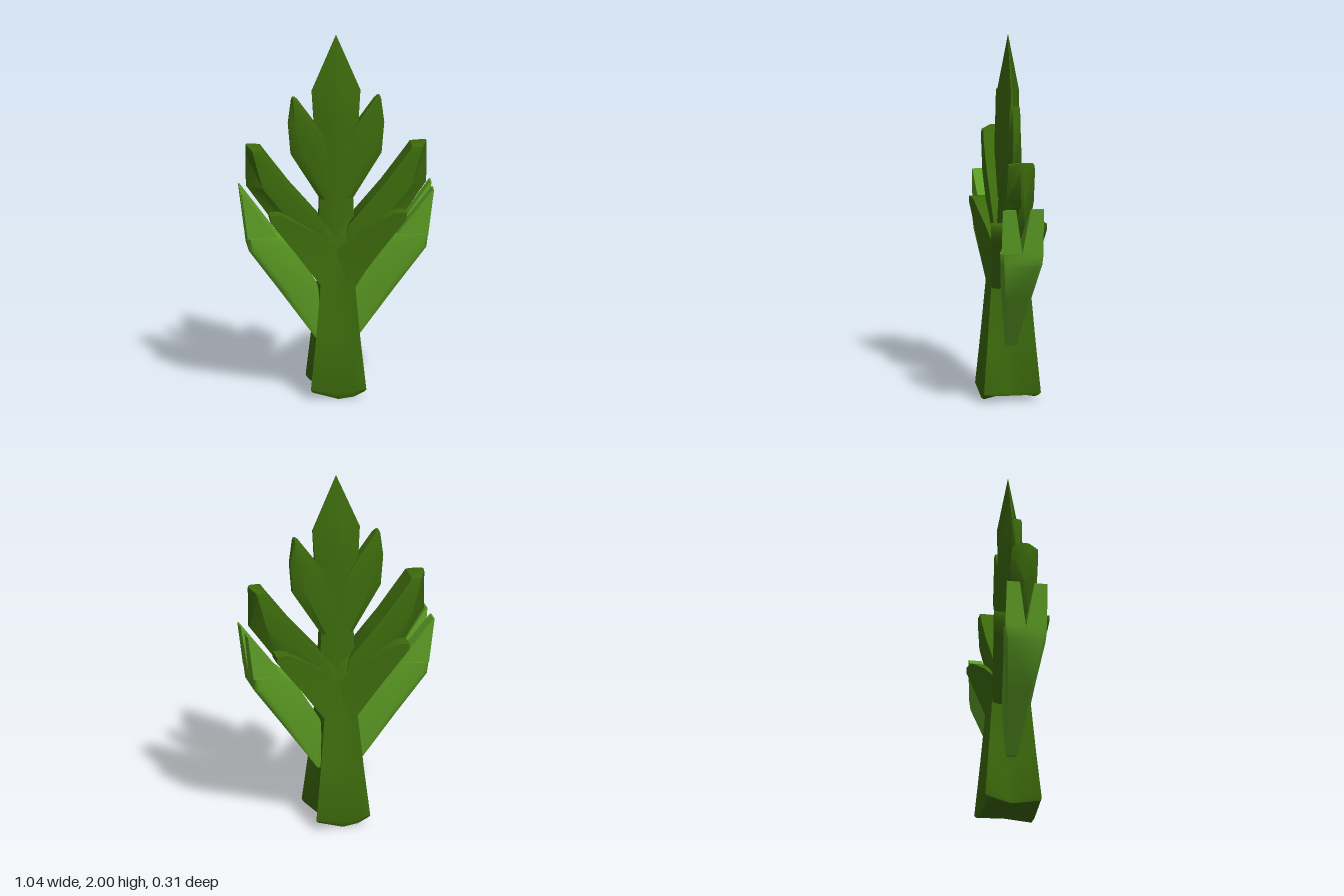
import * as THREE from 'three';
import { toCreasedNormals } from 'three/addons/utils/BufferGeometryUtils.js';

// Skin a stack of equal-length rings, close both ends, and face it outward.
function loft(rings) {
  const tris = [];
  const n = rings[0].length;
  for (let i = 0; i < rings.length - 1; i++) {
    for (let j = 0; j < n; j++) {
      const k = (j + 1) % n;
      const a = rings[i][j], b = rings[i][k], c = rings[i + 1][k], d = rings[i + 1][j];
      tris.push([a, b, c], [a, c, d]);
    }
  }
  const cap = (ring, flip) => {
    const mid = [0, 1, 2].map((q) => ring.reduce((s, p) => s + p[q], 0) / n);
    ring.forEach((p, j) => {
      const next = ring[(j + 1) % n];
      tris.push(flip ? [mid, next, p] : [mid, p, next]);
    });
  };
  cap(rings[0], true);
  cap(rings[rings.length - 1], false);
  let volume = 0;
  for (const [a, b, c] of tris) {
    volume += a[0] * (b[1] * c[2] - b[2] * c[1])
      + a[1] * (b[2] * c[0] - b[0] * c[2])
      + a[2] * (b[0] * c[1] - b[1] * c[0]);
  }
  if (volume < 0) tris.forEach((t) => t.reverse());
  const geometry = new THREE.BufferGeometry();
  geometry.setAttribute('position', new THREE.Float32BufferAttribute(tris.flat(2), 3));
  return toCreasedNormals(geometry, 0.7);
}

// Bevelled sections: [y, inner x, outer x, inner z, middle z, outer z].
// The bevels take the given shares of the width at the inner and outer edge.
function bevelled(rows, side, innerShare, outerShare) {
  return loft(rows.map(([y, xi, xo, zi, zm, zo]) => {
    const w = xo - xi;
    const half = [[xi, zi], [xi + w * innerShare, zm], [xo - w * outerShare, zm], [xo, zo]];
    const back = half.map(([x, z]) => [x, -z]).reverse();
    return [...half, ...back].map(([x, z]) => [x * side, y, z]);
  }));
}

// Four-sided sections: [y, inner x, outer x, near z, far z inside, far z outside].
function slab(rows, side, depth) {
  return loft(rows.map(([y, xi, xo, near, farIn, farOut]) =>
    [[xi, near], [xo, near], [xo, farOut], [xi, farIn]]
      .map(([x, z]) => [x * side, y, z * depth])));
}

export function createModel() {
  const model = new THREE.Group();
  const darkGreen = new THREE.MeshStandardMaterial({ color: 0x3c6a0c });
  darkGreen.name = 'darkGreen';
  const lightGreen = new THREE.MeshStandardMaterial({ color: 0x5c9c24 });
  lightGreen.name = 'lightGreen';
  const add = (name, geometry, material) => {
    const mesh = new THREE.Mesh(geometry, material);
    mesh.name = name;
    model.add(mesh);
  };

  // Stem with grooves on all sides and a rounded foot.
  // [y, half width, half depth, groove half width, groove half depth, foot droop]
  const stemRows = [
    [0, 0.14, 0.145, 0.1, 0.145, 1],
    [0.03, 0.15, 0.155, 0.1, 0.155, 0.6],
    [0.33, 0.12, 0.131, 0.085, 0.118, 0],
    [0.64, 0.092, 0.106, 0.078, 0.086, 0],
    [0.84, 0.09, 0.075, 0.09, 0.07, 0],
    [0.98, 0.088, 0.028, 0.088, 0.05, 0],
  ];
  add('stem', loft(stemRows.map(([y, w, d, gw, gd, droop]) => {
    const half = [[w, -d, 0.04], [gw, 0, 0.03], [w, d, 0.04], [w * 0.6, (d + gd) / 2, 0.012], [0, gd, 0]];
    const ring = [...half, ...half.map(([x, z, lift]) => [-x, -z, lift])];
    return ring.map(([x, z, lift]) => [x, y + lift * droop, z]);
  })), darkGreen);

  // Pointed central blade.
  add('centralBlade', bevelled([
    [0.85, -0.1, 0.1, 0.03, 0.065, 0.03],
    [1.1, -0.09, 0.09, 0.03, 0.052, 0.03],
    [1.34, -0.12, 0.12, 0.03, 0.054, 0.03],
    [1.51, -0.12, 0.12, 0.015, 0.056, 0.015],
    [1.69, -0.132, 0.132, 0.004, 0.06, 0.004],
    [2, -0.001, 0.001, 0.001, 0.001, 0.001],
  ], 1, 0.48, 0.48), darkGreen);

  for (const side of [1, -1]) {
    const label = side > 0 ? 'left' : 'right';

    // Small lobe beside the central blade.
    add(label + 'Lobe', bevelled([
      [1.09, 0, 0.088, 0.045, 0.045, 0.028],
      [1.34, 0, 0.245, 0.05, 0.045, 0.015],
      [1.51, 0.115, 0.26, 0.03, 0.033, 0.012],
      [1.64, 0.208, 0.243, 0.026, 0.028, 0.014],
      [1.655, 0.225, 0.238, 0.022, 0.024, 0.014],
    ], side, 0.2, 0.25), darkGreen);

    // Large upper branch: flat on top, pointed along the outer end.
    add(label + 'UpperBranch', bevelled([
      [0.64, 0, 0.09, 0.06, 0.07, 0.06],
      [0.95, 0.06, 0.325, 0.068, 0.073, 0.045],
      [1.17, 0.25, 0.487, 0.072, 0.075, 0.006],
      [1.35, 0.385, 0.488, 0.072, 0.074, 0.012],
      [1.38, 0.405, 0.488, 0.068, 0.07, 0.014],
      [1.398, 0.47, 0.488, 0.022, 0.022, 0.012],
    ], side, 0.08, 0.35), darkGreen);

    // Lower branches, one in front and one behind.
    for (const depth of [1, -1]) {
      add(label + (depth > 0 ? 'Front' : 'Back') + 'Branch', slab([
        [0.62, 0, 0.088, 0, 0.086, 0.104],
        [0.82, 0, 0.232, 0, 0.072, 0.13],
        [0.92, 0.12, 0.308, 0.03, 0.102, 0.142],
        [1.0, 0.245, 0.368, 0.05, 0.13, 0.152],
        [1.035, 0.31, 0.37, 0.06, 0.142, 0.153],
      ], side, depth), darkGreen);
    }

    // Pale outer leaf, flaring outward and splitting into two prongs at the tip.
    add(label + 'OuterLeaf', bevelled([
      [0.31, 0.08, 0.11, 0.03, 0.03, 0.03],
      [0.6, 0.1, 0.315, 0.055, 0.076, 0.064],
      [0.83, 0.24, 0.48, 0.075, 0.112, 0.098],
      [0.9, 0.325, 0.488, 0.085, 0.118, 0.102],
    ], side, 0.8, 0.08), lightGreen);
    for (const depth of [1, -1]) {
      add(label + (depth > 0 ? 'Front' : 'Back') + 'LeafProng', slab([
        [0.9, 0.325, 0.488, 0, 0.085, 0.114],
        [1.15, 0.513, 0.52, 0.04, 0.112, 0.112],
      ], side, depth), lightGreen);
    }
  }
  return model;
}
